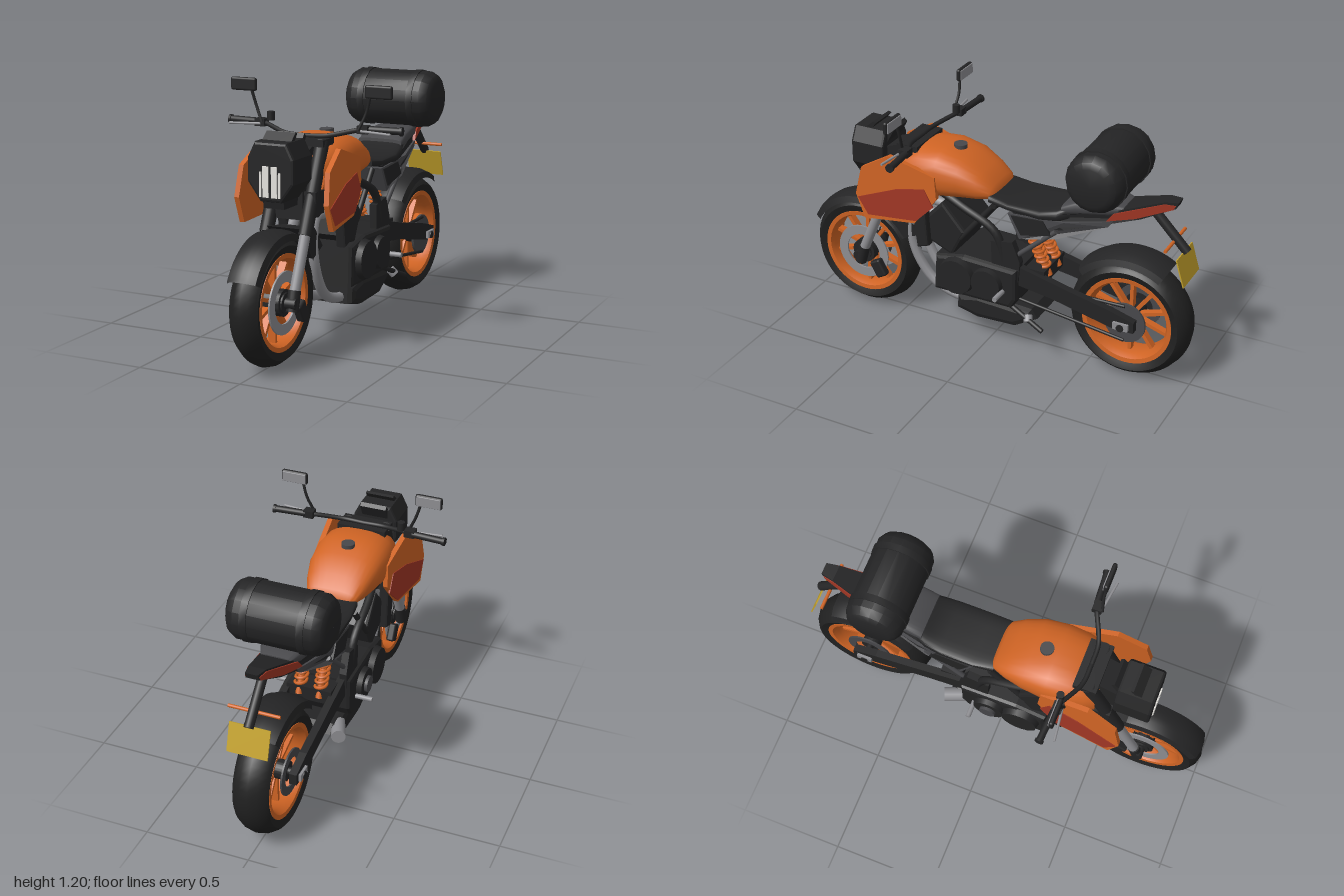
import * as THREE from 'three';
import { toCreasedNormals } from 'three/addons/utils/BufferGeometryUtils.js';
import { RoundedBoxGeometry } from 'three/addons/geometries/RoundedBoxGeometry.js';

const paint = (name, color, side = THREE.FrontSide) => {
  const m = new THREE.MeshStandardMaterial({ color, side });
  m.name = name;
  return m;
};

export function createModel() {
  const bike = new THREE.Group();
  bike.name = 'motorcycle';
  const black = paint('black plastic', 0x242425, THREE.DoubleSide);
  const rubber = paint('rubber', 0x202020);
  const orange = paint('orange paint', 0xd06424);
  const red = paint('red panel', 0xa03624);
  const grey = paint('dark grey', 0x48484b);
  const silver = paint('silver metal', 0x8e8e92);
  const white = paint('lamp white', 0xe6e4df);
  const yellow = paint('plate yellow', 0xc4a22c, THREE.DoubleSide);

  // --- helpers ---
  const V = (p) => new THREE.Vector3(...p);
  const add = (name, geo, mat, pos = [0, 0, 0], parent = bike) => {
    const m = new THREE.Mesh(geo, mat);
    m.name = name;
    m.position.set(...pos);
    parent.add(m);
    return m;
  };
  const both = (fn) => [1, -1].forEach(fn);
  const box = (name, size, pos, mat) => add(name, new THREE.BoxGeometry(...size), mat, pos);
  const tube = (name, pts, r, mat) =>
    add(name, new THREE.TubeGeometry(new THREE.CatmullRomCurve3(pts.map(V)), 28, r, 8), mat);
  const rod = (name, a, b, r, mat, r2 = r) => {
    const d = V(b).sub(V(a));
    const m = add(name, new THREE.CylinderGeometry(r2, r, d.length(), 18), mat);
    m.position.copy(V(a).addScaledVector(d, 0.5));
    m.quaternion.setFromUnitVectors(new THREE.Vector3(0, 1, 0), d.normalize());
    return m;
  };
  // side outline [z, y] given a width along x
  const slab = (pts, w, bevel = 0) => {
    const shape = new THREE.Shape(pts.map((p) => new THREE.Vector2(...p)));
    const d = w - 2 * bevel;
    return new THREE.ExtrudeGeometry(shape, {
      depth: d, bevelEnabled: bevel > 0, bevelThickness: bevel, bevelSize: bevel, bevelOffset: -bevel, bevelSegments: 2,
    }).translate(0, 0, -d / 2).rotateY(-Math.PI / 2);
  };
  // move the x of every vertex by a rule
  const reshape = (geo, rule) => {
    const p = geo.attributes.position;
    for (let i = 0; i < p.count; i++) p.setX(i, rule(p.getX(i), p.getY(i), p.getZ(i)));
    geo.computeVertexNormals();
    return geo;
  };
  // lathe whose axis lies along x; angle 0 is forward, 90 degrees is up
  const spin = (pts, from = 0, to = 360, n = 48) => toCreasedNormals(new THREE.LatheGeometry(
    pts.map((p) => new THREE.Vector2(...p)), n,
    THREE.MathUtils.degToRad(from), THREE.MathUtils.degToRad(to - from)).rotateZ(Math.PI / 2), 0.6);
  const ring = (r0, r1, w) => spin([[r0, -w], [r1, -w], [r1, w], [r0, w], [r0, -w]]);
  // skin over rounded sections [z, half width, bottom, top], rear to front
  const loft = (sections, power = 0.75, n = 28) => {
    const pos = [], idx = [];
    const pw = (v) => Math.sign(v) * Math.abs(v) ** power;
    sections.forEach(([z, w, lo, hi]) => {
      for (let j = 0; j < n; j++) {
        const a = (j / n) * Math.PI * 2;
        pos.push(w * pw(Math.cos(a)), (lo + hi) / 2 + ((hi - lo) / 2) * pw(Math.sin(a)), z);
      }
    });
    const last = sections.length - 1;
    for (let i = 0; i < last; i++) for (let j = 0; j < n; j++) {
      const k = (j + 1) % n, a = i * n + j, b = i * n + k;
      idx.push(a, b, a + n, b, b + n, a + n);
    }
    for (let j = 1; j < n - 1; j++) idx.push(0, j + 1, j, last * n, last * n + j, last * n + j + 1);
    const g = new THREE.BufferGeometry();
    g.setAttribute('position', new THREE.Float32BufferAttribute(pos, 3));
    g.setIndex(idx);
    return toCreasedNormals(g, 0.75);
  };

  // --- wheels ---
  const wheel = (name, z, R, w, rim) => {
    const g = new THREE.Group();
    g.name = name;
    g.position.set(0, R, z);
    bike.add(g);
    add('tyre', spin([[rim - 0.01, -w * 0.75], [rim + 0.02, -w * 0.92], [rim + 0.04, -w], [R - 0.03, -w * 0.88],
      [R - 0.009, -w * 0.5], [R, 0], [R - 0.009, w * 0.5], [R - 0.03, w * 0.88], [rim + 0.04, w],
      [rim + 0.02, w * 0.92], [rim - 0.01, w * 0.75], [rim - 0.01, -w * 0.75]]), rubber, [0, 0, 0], g);
    add('rim', spin([[0.185, -w * 0.5], [rim - 0.015, -w * 0.85], [rim + 0.006, -w * 0.88], [rim + 0.006, w * 0.88],
      [rim - 0.015, w * 0.85], [0.185, w * 0.5], [0.185, -w * 0.5]]), orange, [0, 0, 0], g);
    for (let i = 0; i < 10; i++) {
      const s = add('spoke', new THREE.BoxGeometry(0.035, 0.16, 0.017).translate(0, 0.115, 0), orange, [0, 0, 0], g);
      s.rotation.x = (i / 10) * Math.PI * 2;
    }
    add('hub', ring(0.005, 0.045, 0.07), black, [0, 0, 0], g);
    return g;
  };
  const front = wheel('frontWheel', 0.713, 0.287, 0.069, 0.21);
  const rear = wheel('rearWheel', -0.7, 0.298, 0.086, 0.215);
  both((s) => add('brakeDisc', ring(0.092, 0.14, 0.004), silver, [s * 0.06, 0, 0], front));
  add('discCarrier', ring(0.03, 0.06, 0.062), black, [0, 0, 0], front);
  add('sprocket', ring(0.02, 0.1, 0.006), grey, [0.085, 0, 0], rear);
  add('rearDisc', ring(0.07, 0.11, 0.004), grey, [-0.08, 0, 0], rear);
  rod('rearAxle', [-0.15, 0.3, -0.7], [0.15, 0.3, -0.7], 0.018, black);
  rod('frontAxle', [-0.12, 0.287, 0.713], [0.12, 0.287, 0.713], 0.025, black);

  // --- mudguards ---
  add('frontMudguard', spin([[0.27, -0.078], [0.3, -0.068], [0.312, -0.03], [0.314, 0], [0.312, 0.03], [0.3, 0.068],
    [0.27, 0.078]], 28, 150), black, [0, 0.287, 0.713]);
  add('mudguardFlap', slab([[0.62, 0.595], [0.46, 0.57], [0.38, 0.47], [0.47, 0.43], [0.55, 0.52]], 0.15), black);
  add('rearMudguard', spin([[0.29, -0.095], [0.32, -0.085], [0.335, -0.04], [0.337, 0], [0.335, 0.04], [0.32, 0.085],
    [0.29, 0.095]], 42, 122), black, [0, 0.298, -0.7]);

  // --- fork and steering ---
  both((s) => {
    const x = s * 0.095;
    rod('forkFoot', [x, 0.25, 0.71], [x, 0.34, 0.685], 0.028, black);
    rod('forkSlider', [x, 0.32, 0.69], [x, 0.58, 0.58], 0.024, silver);
    rod('forkTube', [x, 0.56, 0.588], [x, 0.95, 0.42], 0.032, black);
    add('brakeCaliper', new RoundedBoxGeometry(0.04, 0.09, 0.06, 2, 0.01), black, [s * 0.085, 0.23, 0.61]).rotation.x = 0.5;
  });
  box('lowerClamp', [0.25, 0.05, 0.09], [0, 0.72, 0.5], black);
  box('upperClamp', [0.24, 0.03, 0.11], [0, 0.945, 0.41], black);
  add('steeringHead', slab([[0.56, 0.62], [0.36, 0.6], [0.3, 0.9], [0.44, 0.94], [0.56, 0.9]], 0.14), black);
  both((s) => {
    tube('handlebar', [[0, 0.965, 0.4], [s * 0.1, 0.97, 0.395], [s * 0.24, 0.998, 0.335], [s * 0.29, 1, 0.325]], 0.011, black);
    rod('grip', [s * 0.27, 1, 0.325], [s * 0.42, 1, 0.315], 0.016, black);
    rod('barEnd', [s * 0.42, 1, 0.315], [s * 0.432, 1, 0.314], 0.02, black);
    rod('lever', [s * 0.25, 0.995, 0.355], [s * 0.4, 0.992, 0.375], 0.006, silver);
    box('switchBox', [0.05, 0.035, 0.045], [s * 0.255, 1, 0.335], black);
    tube('mirrorStem', [[s * 0.24, 1, 0.36], [s * 0.275, 1.08, 0.35], [s * 0.295, 1.15, 0.355]], 0.007, black);
    add('mirror', new RoundedBoxGeometry(0.13, 0.06, 0.022, 3, 0.01), black, [s * 0.335, 1.17, 0.352]);
    add('mirrorGlass', new RoundedBoxGeometry(0.118, 0.05, 0.006, 2, 0.003), silver, [s * 0.335, 1.17, 0.34]);
  });
  rod('fluidReservoir', [-0.21, 1.01, 0.33], [-0.21, 1.05, 0.33], 0.018, black);

  // --- headlight ---
  const face = [[-0.07, 0.97], [-0.1, 0.91], [-0.1, 0.81], [-0.045, 0.735], [0.045, 0.735], [0.1, 0.81], [0.1, 0.91], [0.07, 0.97]];
  add('headlightHousing', new THREE.ExtrudeGeometry(new THREE.Shape(face.map((p) => new THREE.Vector2(...p))),
    { depth: 0.15, bevelThickness: 0.012, bevelSize: 0.012, bevelSegments: 2 }), black, [0, 0, 0.56]);
  add('chinPanel', slab([[0.71, 0.8], [0.69, 0.69], [0.57, 0.69], [0.55, 0.85]], 0.1), black);
  both((s) => {
    box('lampBar', [0.028, 0.135, 0.008], [s * 0.021, 0.812, 0.724], white);
    box('lampEdge', [0.009, 0.11, 0.008], [s * 0.046, 0.8, 0.724], white);
  });
  add('windscreen', slab([[0.71, 0.94], [0.62, 1.015], [0.605, 1.01], [0.66, 0.94]], 0.14), black);
  add('dashboard', slab([[0.58, 0.94], [0.53, 1], [0.515, 0.985], [0.55, 0.92]], 0.13), black);

  // --- tank, cap and side panels ---
  add('fuelTank', loft([[-0.04, 0.095, 0.77, 0.8], [-0.02, 0.122, 0.765, 0.835], [0.04, 0.147, 0.75, 0.885],
    [0.13, 0.17, 0.74, 0.938], [0.24, 0.18, 0.72, 0.965], [0.34, 0.177, 0.7, 0.96], [0.42, 0.16, 0.7, 0.935],
    [0.47, 0.13, 0.7, 0.9]]), orange);
  rod('fuelCap', [0, 0.95, 0.19], [0, 0.969, 0.19], 0.032, grey);
  const flare = (y, z) => 0.2 + 0.1 * (z - 0.45) - 0.04 * (y - 0.75);
  both((s) => {
    const lean = (out) => (x, y, z) => x + s * (flare(y, z) + out);
    add('sidePanel', reshape(slab([[0.6, 0.85], [0.63, 0.71], [0.585, 0.59], [0.33, 0.61], [0.22, 0.75], [0.23, 0.86],
      [0.46, 0.93]], 0.024), lean(0)), orange);
    add('redInset', reshape(slab([[0.617, 0.695], [0.565, 0.612], [0.32, 0.625], [0.235, 0.71], [0.28, 0.795],
      [0.42, 0.77]], 0.008), lean(0.012)), red);
  });

  // --- seat and tail ---
  add('riderSeat', loft([[-0.42, 0.11, 0.76, 0.84], [-0.36, 0.128, 0.74, 0.81], [-0.28, 0.138, 0.74, 0.79],
    [-0.12, 0.138, 0.75, 0.787], [-0.02, 0.13, 0.76, 0.805]], 0.5), black);
  add('pillionSeat', loft([[-0.66, 0.07, 0.84, 0.87], [-0.6, 0.095, 0.82, 0.885], [-0.45, 0.115, 0.8, 0.87],
    [-0.38, 0.115, 0.79, 0.835]], 0.5), grey);
  const taper = (x, y, z) => x * THREE.MathUtils.clamp(0.13 + (z + 0.4) * 0.2, 0.03, 0.13);
  const tail = (name, pts, w, mat) => add(name, reshape(slab(pts, 2 * w), taper), mat);
  tail('tailBody', [[-0.14, 0.75], [-0.2, 0.67], [-0.4, 0.72], [-0.62, 0.79], [-0.74, 0.83], [-0.89, 0.905],
    [-0.9, 0.935], [-0.84, 0.93], [-0.62, 0.85], [-0.4, 0.8], [-0.3, 0.765]], 0.95, black);
  tail('tailPanel', [[-0.12, 0.74], [-0.18, 0.62], [-0.36, 0.665], [-0.6, 0.77], [-0.62, 0.8], [-0.4, 0.76]], 1, grey);
  tail('tailPanelInset', [[-0.14, 0.735], [-0.19, 0.645], [-0.34, 0.68], [-0.3, 0.745]], 1.05, black);
  tail('redTailStripe', [[-0.59, 0.8], [-0.72, 0.832], [-0.88, 0.9], [-0.89, 0.92], [-0.84, 0.921], [-0.62, 0.84]], 1.06, red);

  // --- plate holder, plate and indicators ---
  rod('plateHolder', [0, 0.85, -0.79], [0, 0.69, -0.945], 0.022, black);
  box('plate', [0.19, 0.135, 0.006], [0, 0.625, -0.95], yellow).rotation.x = 0.3;
  both((s) => rod('rearIndicator', [0, 0.735, -0.885], [s * 0.12, 0.735, -0.885], 0.008, orange));

  // --- luggage roll ---
  const roll = [[0.001, -0.23], [0.09, -0.23], [0.118, -0.215], [0.138, -0.18], [0.138, 0.18], [0.118, 0.215], [0.09, 0.23], [0.001, 0.23]];
  add('luggageRoll', spin(roll, 0, 360, 16), black, [0, 1.017, -0.565]);
  both((s) => add('luggageStrap', spin([[0.13, -0.016], [0.143, -0.016], [0.143, 0.016], [0.13, 0.016]], 0, 360, 16),
    black, [s * 0.13, 1.017, -0.565]));

  // --- engine ---
  add('crankcase', slab([[0.25, 0.44], [0.26, 0.25], [-0.15, 0.25], [-0.18, 0.3], [-0.18, 0.46], [0.1, 0.47]], 0.32, 0.02), black);
  add('cylinder', slab([[0.22, 0.715], [0.1, 0.58], [0.17, 0.44], [0.33, 0.51], [0.31, 0.62]], 0.27, 0.015), black);
  both((s) => {
    add('radiatorSide', slab([[0.38, 0.76], [0.34, 0.46], [0.28, 0.48], [0.3, 0.76]], 0.05, 0.01), black, [s * 0.145, 0, 0]);
    rod('engineCover', [s * 0.14, 0.36, 0.13], [s * 0.188, 0.36, 0.13], 0.1, black, 0.088);
    rod('rearCover', [s * 0.14, 0.36, -0.03], [s * 0.185, 0.36, -0.03], 0.085, black, 0.075);
    rod('footpeg', [s * 0.15, 0.335, -0.11], [s * 0.243, 0.335, -0.11], 0.012, silver);
    tube('headerPipe', [[s * 0.05, 0.6, 0.3], [s * 0.05, 0.6, 0.4], [s * 0.055, 0.5, 0.435], [s * 0.055, 0.36, 0.41],
      [s * 0.05, 0.23, 0.32], [s * 0.05, 0.18, 0.2], [s * 0.05, 0.175, 0.1]], 0.024, silver);
  });
  rod('clutchCap', [-0.18, 0.36, -0.03], [-0.2, 0.36, -0.03], 0.04, grey);
  add('bellyPan', slab([[0.16, 0.225], [0.165, 0.145], [0.05, 0.117], [-0.15, 0.125], [-0.26, 0.19], [-0.23, 0.235],
    [0.05, 0.25]], 0.24, 0.03), black);
  rod('exhaustTip', [-0.09, 0.2, -0.16], [-0.14, 0.207, -0.28], 0.034, silver);
  rod('sideStand', [0.12, 0.28, -0.08], [0.165, 0.18, -0.32], 0.012, black);
  rod('sideStandFoot', [0.13, 0.225, -0.23], [0.15, 0.2, -0.24], 0.022, silver);

  // --- frame, swingarm and shock absorbers ---
  both((s) => {
    tube('frameTube', [[s * 0.09, 0.8, 0.36], [s * 0.13, 0.72, 0.12], [s * 0.13, 0.62, -0.06], [s * 0.12, 0.42, -0.11]], 0.02, black);
    rod('frameBrace', [s * 0.12, 0.54, 0.13], [s * 0.12, 0.75, -0.04], 0.014, black);
    add('pivotPlate', slab([[-0.04, 0.58], [-0.05, 0.38], [-0.18, 0.38], [-0.19, 0.5], [-0.15, 0.6]], 0.035), black, [s * 0.125, 0, 0]);
    rod('subframeStrut', [s * 0.12, 0.53, -0.17], [s * 0.12, 0.7, -0.36], 0.012, grey);
    add('swingarm', slab([[-0.08, 0.49], [-0.17, 0.475], [-0.45, 0.41], [-0.64, 0.37], [-0.76, 0.335], [-0.76, 0.28],
      [-0.66, 0.28], [-0.35, 0.35], [-0.14, 0.38]], 0.036), black, [s * 0.115, 0, 0]);
    box('axleBlock', [0.015, 0.035, 0.075], [s * 0.138, 0.305, -0.7], silver);
    const coil = [];
    for (let i = 0; i <= 84; i++) {
      const t = i / 84, a = t * Math.PI * 14;
      coil.push(new THREE.Vector3(s * 0.05 + 0.027 * Math.cos(a), 0.63 - 0.16 * t, -0.2 - 0.075 * t + 0.027 * Math.sin(a)));
    }
    add('shockSpring', new THREE.TubeGeometry(new THREE.CatmullRomCurve3(coil), 168, 0.0075, 6), orange);
    rod('shockBody', [s * 0.05, 0.69, -0.17], [s * 0.05, 0.42, -0.3], 0.016, orange);
    rod('chainRun', [0.095, 0.298 + s * 0.09, -0.7], [0.095, 0.33 + s * 0.045, -0.12], 0.008, black);
  });
  box('swingarmBridge', [0.22, 0.07, 0.1], [0, 0.43, -0.25], black);
  return bike;
}
